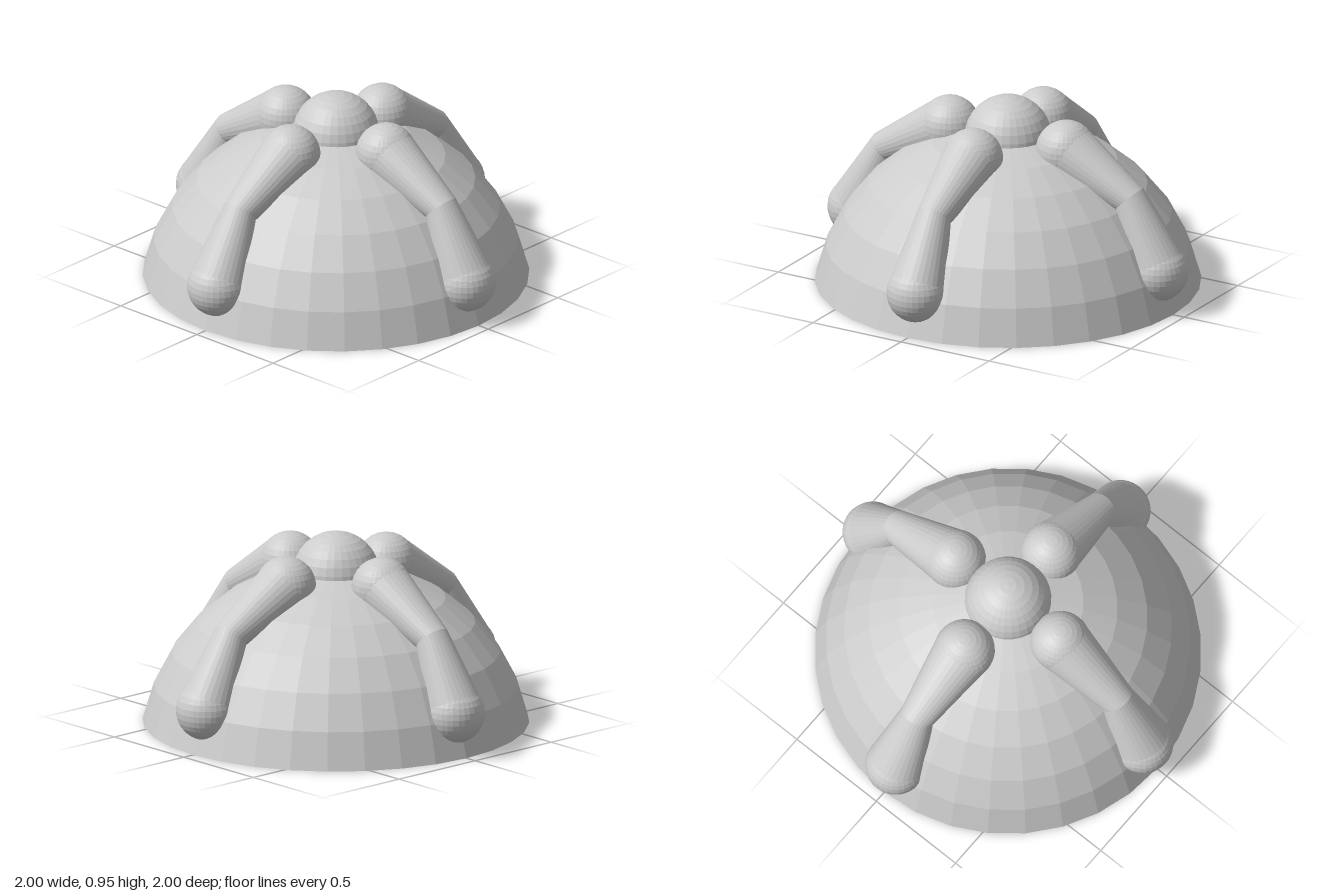
import * as THREE from 'three';

const material = new THREE.MeshStandardMaterial({ color: 0xcccccc, flatShading: true });
const SIDES = 32;

function add(parent, name, geometry, x = 0, y = 0, z = 0) {
  const mesh = new THREE.Mesh(geometry, material);
  mesh.name = name;
  mesh.position.set(x, y, z);
  parent.add(mesh);
  return mesh;
}

// Faceted spherical cap with a closed flat base
function domeGeometry() {
  const radius = 0.957, stretch = 1.018, step = Math.PI / 16;
  const floor = Math.cos(7 * step);
  const profile = [new THREE.Vector2(0, 0)];
  for (let i = 7; i >= 0; i--) {
    profile.push(new THREE.Vector2(radius * Math.sin(i * step), radius * stretch * (Math.cos(i * step) - floor)));
  }
  return new THREE.LatheGeometry(profile, SIDES);
}

// Bent tapering tube: one ring at each joint, the elbow ring is mitred
function legGeometry(joints) {
  const positions = [], index = [];
  joints.forEach(({ x, y, r }, i) => {
    const a = joints[Math.max(i - 1, 0)], b = joints[Math.min(i + 1, joints.length - 1)];
    const along = new THREE.Vector2(b.x - a.x, b.y - a.y).normalize();
    for (let s = 0; s < SIDES; s++) {
      const t = (s / SIDES) * Math.PI * 2, c = r * Math.cos(t);
      positions.push(x - along.y * c, y + along.x * c, r * Math.sin(t));
      if (i === 0) continue;
      const p = (i - 1) * SIDES + s, q = (i - 1) * SIDES + ((s + 1) % SIDES);
      index.push(p, q, p + SIDES, q, q + SIDES, p + SIDES);
    }
  });
  const geometry = new THREE.BufferGeometry();
  geometry.setAttribute('position', new THREE.Float32BufferAttribute(positions, 3));
  geometry.setIndex(index);
  geometry.computeVertexNormals();
  return geometry;
}

export function createModel() {
  const model = new THREE.Group();
  model.name = 'domeWithLegs';

  add(model, 'dome', domeGeometry());
  add(model, 'topBall', new THREE.SphereGeometry(0.213, SIDES, 16), 0, 0.735, 0);

  // Four identical legs around the vertical axis
  const shoulder = { x: 0.33, y: 0.735, r: 0.148 };
  const elbow = { x: 0.69, y: 0.55, r: 0.086 };
  const foot = { x: 0.852, y: 0.21, r: 0.148 };
  const tube = legGeometry([shoulder, elbow, foot]);
  const ball = new THREE.SphereGeometry(shoulder.r, SIDES, 16);
  ['left', 'back', 'right', 'front'].forEach((side, i) => {
    const leg = new THREE.Group();
    leg.name = side + 'Leg';
    leg.rotation.y = (i * Math.PI) / 2;
    add(leg, 'limb', tube);
    add(leg, 'shoulderBall', ball, shoulder.x, shoulder.y);
    add(leg, 'footBall', ball, foot.x, foot.y);
    model.add(leg);
  });

  return model;
}
